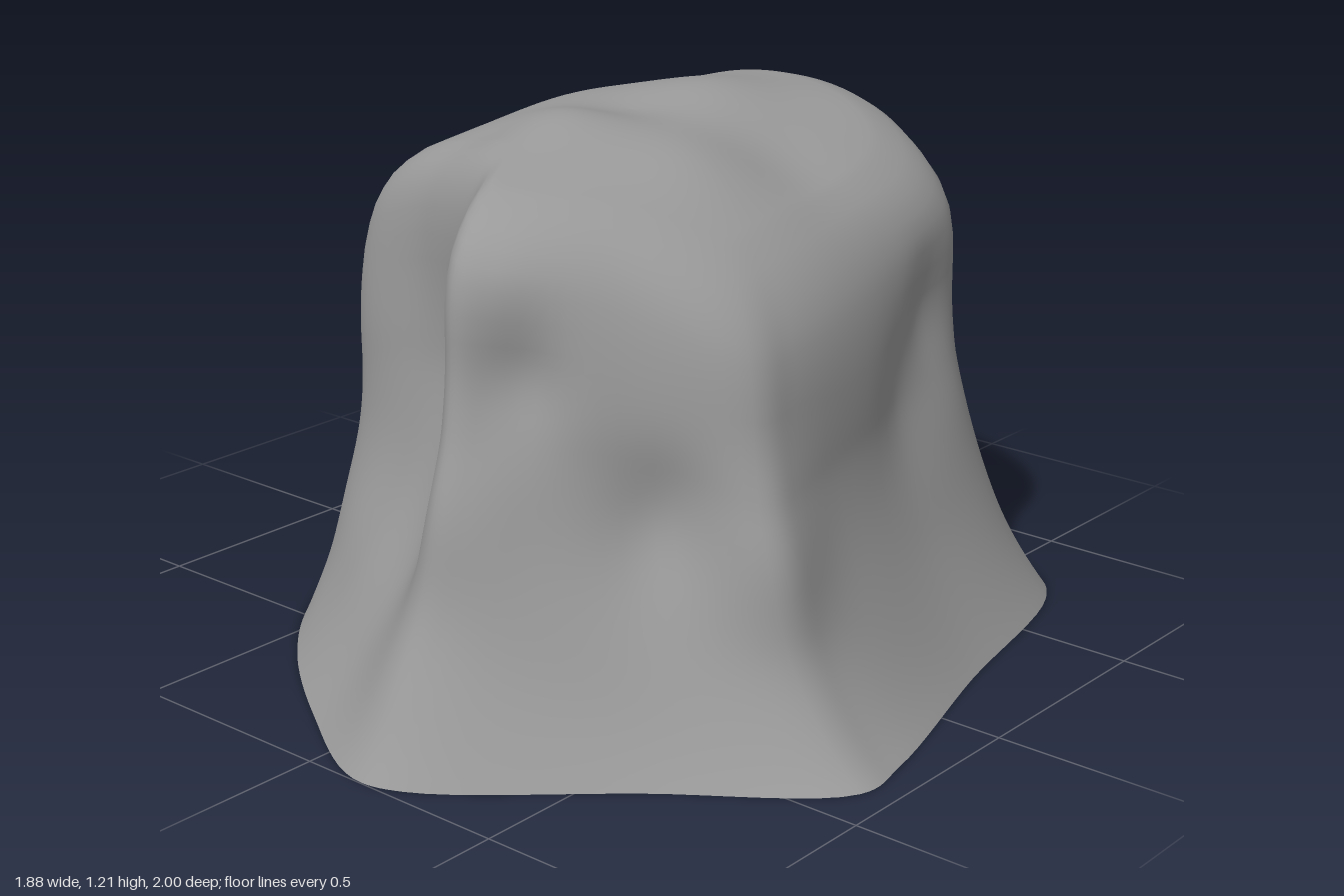
import * as THREE from 'three';

// Matching outlines [x, z], clockwise from the back corner: splayed foot and upper body
const FOOT = [[-0.22, -1], [0.2, -0.9], [0.58, -0.8], [0.68, -0.69], [0.8, -0.2], [0.92, 0.24],
  [0.93, 0.39], [0.6, 0.67], [0.24, 0.97], [0.12, 0.995], [-0.15, 0.85], [-0.42, 0.65],
  [-0.6, 0.44], [-0.76, 0.08], [-0.94, -0.34], [-0.86, -0.43], [-0.72, -0.6], [-0.32, -0.96]];
const BODY = [[-0.12, -0.71], [0.15, -0.7], [0.44, -0.61], [0.54, -0.48], [0.6, -0.2], [0.66, 0.25],
  [0.65, 0.38], [0.43, 0.54], [0.23, 0.71], [0.14, 0.735], [0, 0.54], [-0.22, 0.44],
  [-0.48, 0.37], [-0.58, 0.07], [-0.72, -0.2], [-0.72, -0.35], [-0.5, -0.55], [-0.25, -0.69]];

// Dents (positive) and bulges (negative): x, y, z, radius, depth
const DENTS = [[0.26, 0.78, 0.66, 0.1, 0.05], [0.54, 0.5, 0.53, 0.11, 0.05], [0.6, 0.74, -0.42, 0.12, 0.05],
  [0.64, 0.6, -0.25, 0.13, 0.03], [0.72, 0.45, 0.33, 0.13, -0.05], [-0.1, 0.6, 0.55, 0.2, 0.02],
  [-0.6, 0.5, 0.1, 0.16, 0.02], [0.05, 0.45, -0.76, 0.18, 0.03], [0.16, 0.5, 0.75, 0.12, -0.02],
  [-0.45, 0.55, -0.62, 0.17, 0.03], [0.35, 0.65, -0.67, 0.13, 0.03]];

// Swells and hollows on the top: x, z, radius, height
const SWELLS = [[0.05, -0.22, 0.16, 0.025], [-0.02, 0.2, 0.14, 0.025], [0, 0.02, 0.12, -0.02],
  [-0.3, -0.1, 0.18, 0.02], [0.3, 0.15, 0.15, 0.02], [0.25, -0.45, 0.15, 0.015],
  [-0.15, 0.32, 0.1, -0.015], [0.35, -0.1, 0.13, -0.015], [-0.35, -0.4, 0.15, -0.01]];

const SEGMENTS = 144;

function outline(points) {
  const curve = new THREE.CatmullRomCurve3(points.map(([x, z]) => new THREE.Vector3(x, 0, z)), true, 'centripetal');
  return Array.from({ length: SEGMENTS }, (_, j) => curve.getPoint(j / SEGMENTS));
}

// Arched top, a little lower towards front and back
function crown(x, z) {
  let y = 1.19 - 0.7 * x * x - 0.2 * Math.max(0, z) ** 2 - 0.05 * Math.min(0, z) ** 2;
  for (const [sx, sz, r, height] of SWELLS) {
    y += height * Math.exp(-((x - sx) ** 2 + (z - sz) ** 2) / (r * r));
  }
  return y;
}

// Push a point in or out by the dents and a gentle unevenness
function weather(p) {
  const out = new THREE.Vector3(p.x, 0, p.z).normalize();
  const fade = THREE.MathUtils.smoothstep(p.y, 0.02, 0.3) * (1 - THREE.MathUtils.smoothstep(p.y, 0.9, 1.1));
  let push = 0.008 * fade * Math.sin(p.x * 9 + p.y * 7) * Math.cos(p.z * 8 - p.y * 5);
  for (const [x, y, z, r, depth] of DENTS) {
    const d2 = (p.x - x) ** 2 + (p.y - y) ** 2 * 0.6 + (p.z - z) ** 2;
    push -= depth * fade * Math.exp(-d2 / (r * r));
  }
  return p.addScaledVector(out, push);
}

function rockGeometry() {
  const foot = outline(FOOT), body = outline(BODY);
  const positions = [], index = [];
  let rows = 0;
  const addRow = (pointAt, join = true) => {
    for (let j = 0; j < SEGMENTS; j++) {
      positions.push(...pointAt(j).toArray());
      if (!join) continue;
      const k = (j + 1) % SEGMENTS;
      const a = (rows - 1) * SEGMENTS + j, b = (rows - 1) * SEGMENTS + k;
      const c = rows * SEGMENTS + j, d = rows * SEGMENTS + k;
      index.push(a, c, b, b, c, d);
    }
    rows++;
  };

  // Flat underside
  addRow(() => new THREE.Vector3(), false);
  addRow(j => foot[j].clone());

  // Flared walls, then the rounded shoulder: height fraction f, outline scale s
  const wall = (f, s, join = true) => addRow(j => {
    const flare = Math.max(0, 1 - f / 0.62) ** 1.65;
    const p = body[j].clone().lerp(foot[j], flare);
    p.x *= s;
    p.z *= s;
    p.y = f * crown(p.x, p.z);
    return weather(p);
  }, join);
  for (let i = 0; i <= 32; i++) wall(i / 40, 1 - 0.02 * Math.max(0, (i - 20) / 12) ** 2, i > 0);
  const shoulder = [[0.85, 0.972], [0.9, 0.955], [0.935, 0.932], [0.96, 0.9], [0.98, 0.86], [0.992, 0.81], [1, 0.74]];
  for (const [f, s] of shoulder) wall(f, s);

  // Crown closing to the centre
  for (let i = 1; i <= 20; i++) wall(1, 0.74 * (1 - i / 20));

  const geometry = new THREE.BufferGeometry();
  geometry.setAttribute('position', new THREE.Float32BufferAttribute(positions, 3));
  geometry.setIndex(index);
  geometry.computeVertexNormals();
  return geometry;
}

export function createModel() {
  const group = new THREE.Group();
  group.name = 'boulder';
  const rock = new THREE.Mesh(rockGeometry(), new THREE.MeshStandardMaterial({ color: 0x999999 }));
  rock.name = 'rock';
  group.add(rock);
  return group;
}
